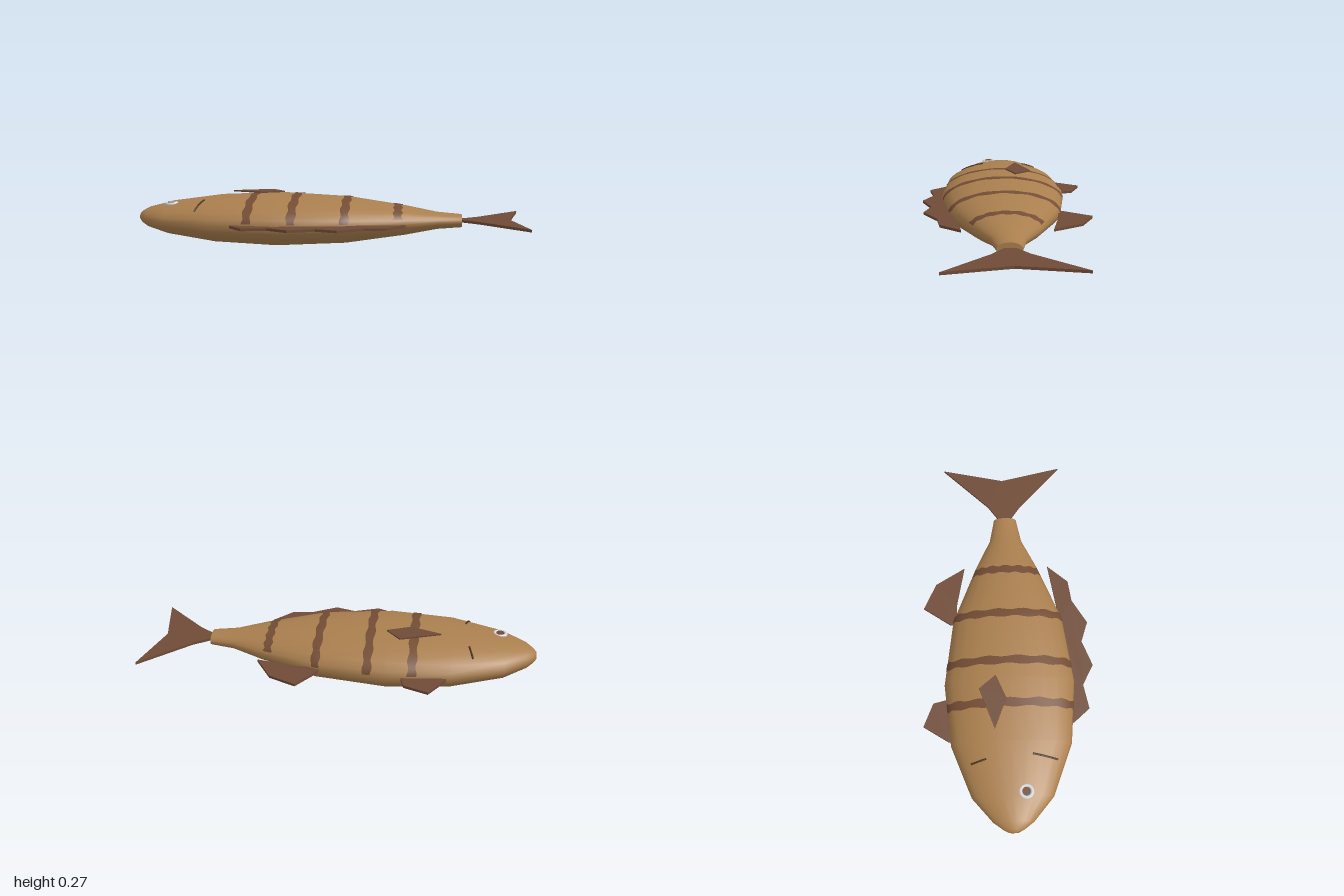
import * as THREE from 'three';

const mat = (name, color, side = THREE.FrontSide) => {
  const m = new THREE.MeshStandardMaterial({ color, side });
  m.name = name;
  return m;
};

const CY = 0.133;
// Body stations along x: [x, half height, half width]
const PROFILE = [
  [-1, 0.018, 0.025], [-0.985, 0.033, 0.053], [-0.95, 0.052, 0.1], [-0.83, 0.083, 0.202],
  [-0.57, 0.118, 0.302], [-0.25, 0.132, 0.333], [0.1, 0.115, 0.285],
  [0.4, 0.073, 0.163], [0.56, 0.043, 0.085], [0.685, 0.033, 0.06],
];

// Point on the body skin at station x and angle a (0 = +z, PI/2 = up)
function skin(x, a, lift = 0) {
  let i = 0;
  while (i < PROFILE.length - 2 && x > PROFILE[i + 1][0]) i++;
  const [p, q] = [PROFILE[i], PROFILE[i + 1]];
  const t = (x - p[0]) / (q[0] - p[0]);
  const ry = p[1] + (q[1] - p[1]) * t + lift;
  const rz = p[2] + (q[2] - p[2]) * t + lift;
  return new THREE.Vector3(x, CY + ry * Math.sin(a), rz * Math.cos(a));
}

// Skin over the rows of points; closed joins the last point of a row to its first
function loft(rows, closed) {
  const n = rows[0].length;
  const index = [];
  for (let i = 0; i < rows.length - 1; i++) {
    for (let j = 0; j < (closed ? n : n - 1); j++) {
      const k = (j + 1) % n;
      const a = i * n + j, b = a + n, c = (i + 1) * n + k, d = i * n + k;
      index.push(a, b, c, a, c, d);
    }
  }
  const g = new THREE.BufferGeometry().setFromPoints(rows.flat());
  g.setIndex(index);
  g.computeVertexNormals();
  return g;
}

// Flat plate from [x, z] outline, lying from y upward
function plate(outline, y, depth) {
  const shape = new THREE.Shape(outline.map(([x, z]) => new THREE.Vector2(x, -z)));
  const g = new THREE.ExtrudeGeometry(shape, { depth, bevelEnabled: false });
  g.rotateX(-Math.PI / 2);
  g.translate(0, y, 0);
  return g;
}

export function createModel() {
  const model = new THREE.Group();
  model.name = 'fish';
  const tan = mat('bodyTan', 0xaa7f4e);
  const brown = mat('finBrown', 0x6f4b37);
  const stripeBrown = mat('stripeBrown', 0x744d35, THREE.DoubleSide);
  const dark = mat('gillDark', 0x4a3620);
  const white = mat('eyeWhite', 0xd8d8d8);
  const add = (name, geometry, material) => {
    const m = new THREE.Mesh(geometry, material);
    m.name = name;
    model.add(m);
    return m;
  };

  // Body with a rounded nose and a flat tail end
  const SEG = 24;
  const rows = PROFILE.map(([x]) =>
    Array.from({ length: SEG }, (_, j) => skin(x, (j / SEG) * Math.PI * 2)));
  rows.unshift(Array.from({ length: SEG }, () => new THREE.Vector3(-1, CY, 0)));
  add('body', loft(rows, true), tan);
  const end = new THREE.CircleGeometry(1, SEG);
  end.scale(0.06, 0.033, 1);
  end.rotateY(Math.PI / 2);
  end.translate(0.685, CY, 0);
  add('bodyEnd', end, tan);

  // Stripes over the upper flank, with slightly wavy edges
  [[-0.38, 0.12], [-0.16, 0.1], [0.1, 0.12], [0.36, 0.3]].forEach(([x, start], s) => {
    const N = 48;
    const band = [-1, 0, 1].map((side) => Array.from({ length: N + 1 }, (_, j) => {
      const a = start + (j / N) * (Math.PI - 2 * start);
      const wave = 0.004 * Math.sin(j * 0.8 + s * 2 + side);
      return skin(x + side * 0.021 + wave, a, 0.0025);
    }));
    add('stripe' + (s + 1), loft(band, false), stripeBrown);
  });

  // Fins in the middle plane
  const fins = {
    tailFin: [[0.67, -0.02], [0.685, -0.03], [0.77, -0.09], [1, -0.33], [0.93, -0.01],
      [1, 0.305], [0.77, 0.085], [0.685, 0.025], [0.67, 0.02]],
    frontBellyFin: [[-0.55, -0.29], [-0.545, -0.315], [-0.465, -0.44], [-0.345, -0.39],
      [-0.325, -0.31], [-0.35, -0.28]],
    rearBellyFin: [[0.08, -0.27], [0.08, -0.3], [0.175, -0.44], [0.31, -0.375],
      [0.4, -0.225], [0.2, -0.265]],
    backFin: [[-0.47, 0.29], [-0.46, 0.32], [-0.39, 0.4], [-0.265, 0.375], [-0.16, 0.43],
      [-0.03, 0.38], [0.075, 0.415], [0.2, 0.34], [0.31, 0.325], [0.4, 0.22],
      [0.1, 0.27], [-0.2, 0.3]],
  };
  for (const [name, outline] of Object.entries(fins)) {
    add(name, plate(outline, CY - 0.006, 0.013), brown);
  }

  // Side fin resting on the flank
  add('sideFin', plate([[-0.515, -0.08], [-0.31, -0.155], [-0.24, -0.07], [-0.36, -0.02]],
    0.261, 0.007), brown);

  // Gill lines
  [[-0.675, -0.2, -0.655, -0.125], [-0.635, 0.1, -0.66, 0.225]].forEach(([x0, z0, x1, z1], i) => {
    const pts = [0, 0.33, 0.67, 1].map((t) => {
      const x = x0 + (x1 - x0) * t, z = z0 + (z1 - z0) * t;
      const width = skin(x, 0).z;
      return skin(x, Math.acos(z / width), 0.001);
    });
    add('gillLine' + (i + 1),
      new THREE.TubeGeometry(new THREE.CatmullRomCurve3(pts), 12, 0.005, 6), dark);
  });

  // Eye ring and pupil, partly sunk in the head
  const ring = add('eyeRing', new THREE.TorusGeometry(0.029, 0.009, 8, 24), white);
  ring.rotation.x = Math.PI / 2;
  ring.position.set(-0.815, 0.212, 0.065);
  const pupil = add('pupil', new THREE.CylinderGeometry(0.02, 0.02, 0.008, 20), brown);
  pupil.position.set(-0.815, 0.216, 0.065);

  return model;
}
